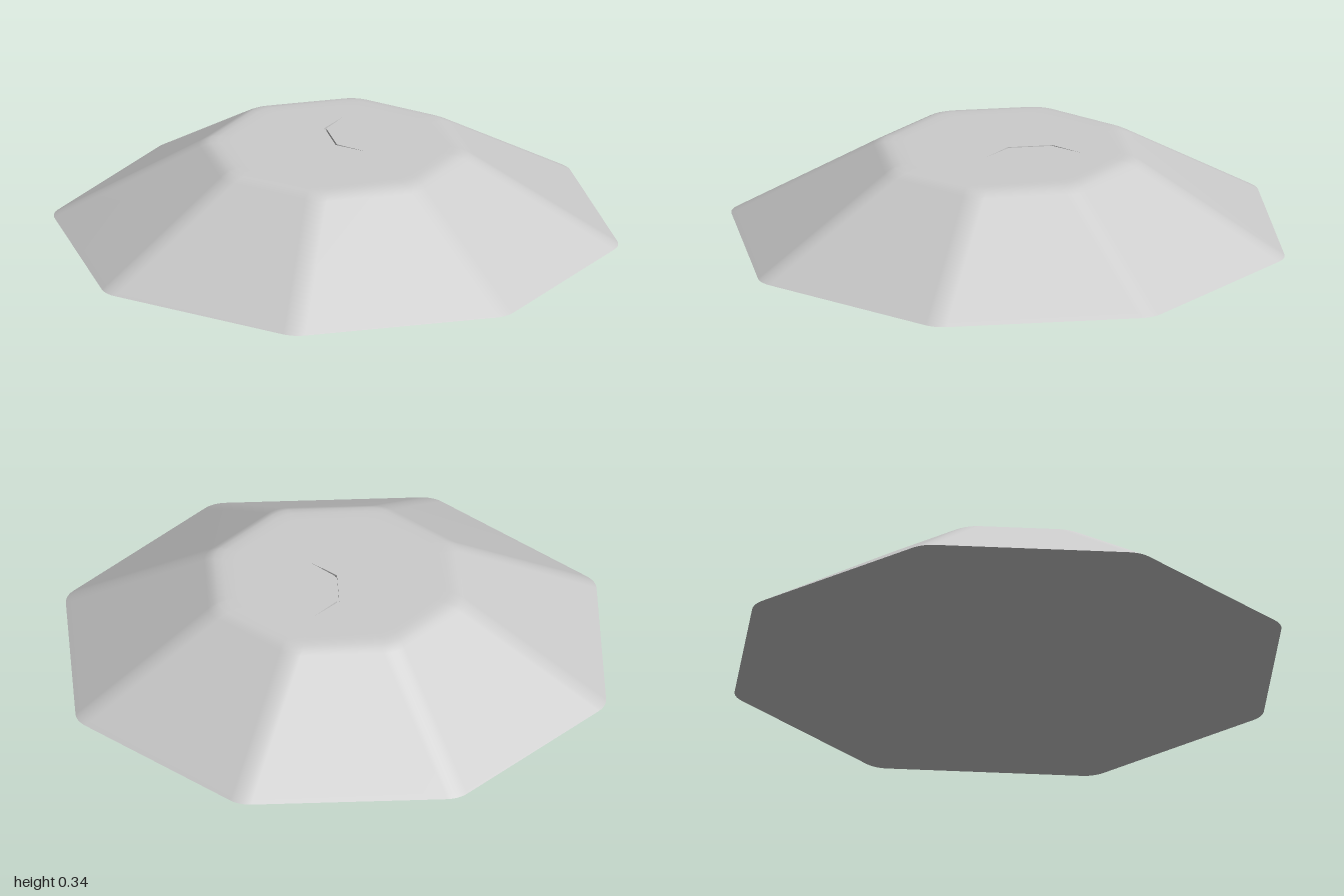
import * as THREE from 'three';

const CORNER = 0.11, STEPS = 5, TOP = 0.345;

// Octagon outline with rounded corners; apothem is the centre-to-side distance.
function octagon(apothem) {
  const points = [];
  const reach = (apothem - CORNER) / Math.cos(Math.PI / 8);
  for (let k = 0; k < 8; k++) {
    const mid = (k + 0.5) * Math.PI / 4;
    for (let s = 0; s <= STEPS; s++) {
      const a = (k + s / STEPS) * Math.PI / 4;
      points.push(new THREE.Vector2(
        reach * Math.cos(mid) + CORNER * Math.cos(a),
        reach * Math.sin(mid) + CORNER * Math.sin(a)));
    }
  }
  return points;
}

// Smooth skin through stacked octagon rings given as [apothem, height].
function skin(rings) {
  const positions = [], index = [];
  const n = 8 * (STEPS + 1);
  rings.forEach(([apothem, y], r) => {
    octagon(apothem).forEach((p) => positions.push(p.x, y, p.y));
    if (r === rings.length - 1) return;
    for (let i = 0; i < n; i++) {
      const a = r * n + i, b = r * n + (i + 1) % n;
      index.push(a, a + n, b, b, a + n, b + n);
    }
  });
  const geometry = new THREE.BufferGeometry();
  geometry.setAttribute('position', new THREE.Float32BufferAttribute(positions, 3));
  geometry.setIndex(index);
  geometry.computeVertexNormals();
  return geometry;
}

export function createModel() {
  const group = new THREE.Group();
  const material = new THREE.MeshStandardMaterial({ color: 0xcccccc });
  const add = (name, geometry) => {
    const mesh = new THREE.Mesh(geometry, material);
    mesh.name = name;
    group.add(mesh);
  };

  // Sloping sides, rounded over into the flat top
  add('slopingSides', skin([
    [1, 0], [0.98, 0.013], [0.49, 0.322], [0.47, 0.333],
    [0.45, 0.341], [0.42, TOP], [0.38, TOP],
  ]));

  // Flat underside
  add('base', new THREE.ShapeGeometry(new THREE.Shape(octagon(1))).rotateX(Math.PI / 2));

  // Top plate with a hairline bent groove, tapered at both ends
  const groove = [[0.1, 0.27], [-0.004, 0.17], [-0.004, 0], [0.1, -0.1], [0.004, 0.002], [0.004, 0.168]]
    .map(([x, y]) => new THREE.Vector2(x, y));
  const plate = new THREE.Shape(octagon(0.38));
  plate.holes.push(new THREE.Path(groove));
  add('topPlate', new THREE.ExtrudeGeometry(plate, { depth: 0.01, bevelEnabled: false })
    .rotateX(-Math.PI / 2).translate(0, TOP - 0.01, 0));
  add('grooveFloor', new THREE.ShapeGeometry(new THREE.Shape(groove))
    .rotateX(-Math.PI / 2).translate(0, TOP - 0.01, 0));

  return group;
}
